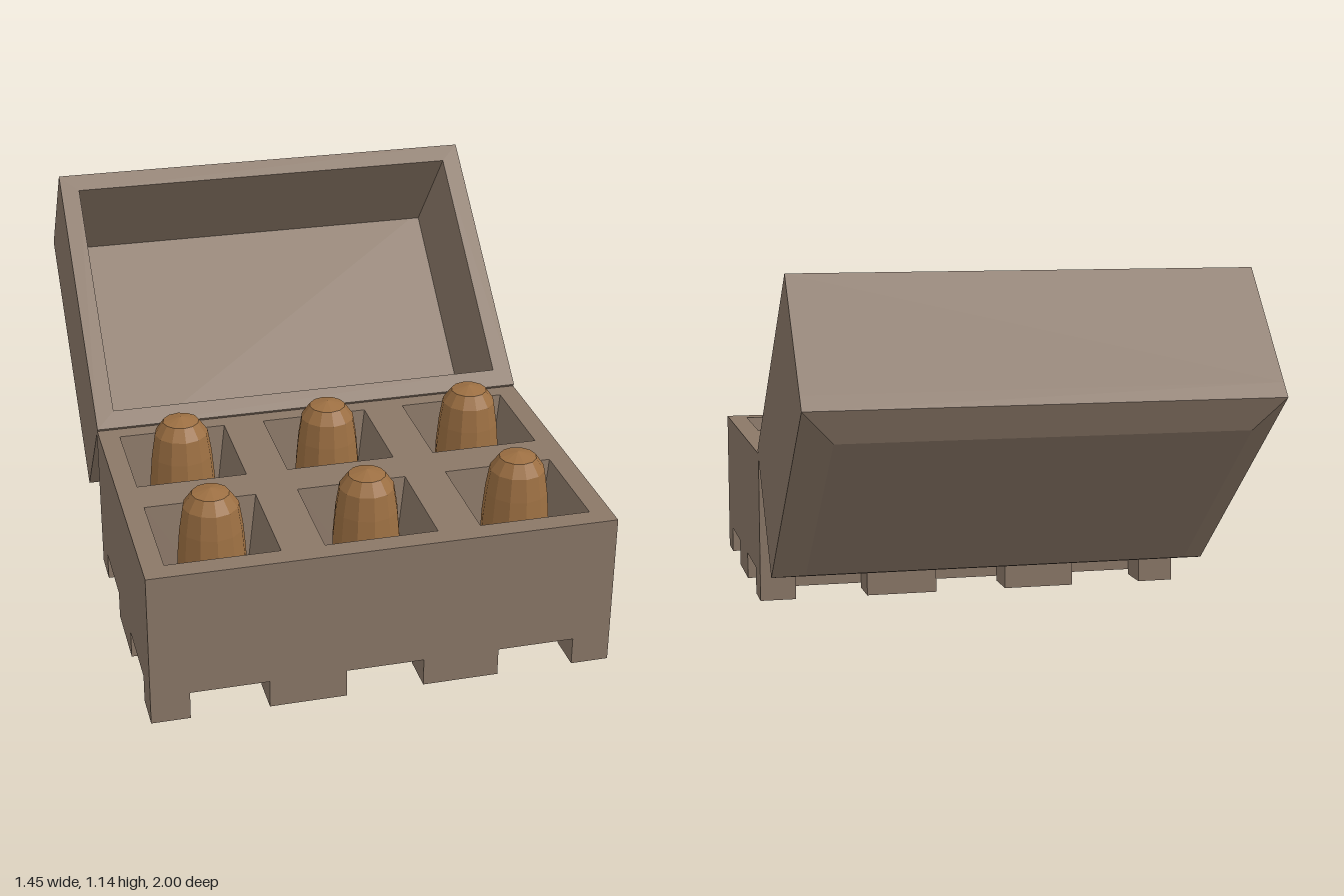
import * as THREE from 'three';
import { ConvexGeometry } from 'three/addons/geometries/ConvexGeometry.js';

const card = new THREE.MeshStandardMaterial({ color: 0x8a7767, flatShading: true });
const shell = new THREE.MeshStandardMaterial({ color: 0x9c6f42, flatShading: true });

const HX = 0.725, HZ = 0.485, CZ = 0.515;   // tray half sizes and centre
const COLS = 3, ROWS = 2;
const PX = 2 * HX / COLS, PZ = 2 * HZ / ROWS; // cell pitch
const CEIL = 0.09, TOP = 0.5;

function add(parent, geometry, name, material = card) {
  const mesh = new THREE.Mesh(geometry, material);
  mesh.name = name;
  parent.add(mesh);
  return mesh;
}

function rect(Type, x0, y0, x1, y1) {
  const s = new Type();
  s.moveTo(x0, y0);
  s.lineTo(x1, y0);
  s.lineTo(x1, y1);
  s.lineTo(x0, y1);
  s.closePath();
  return s;
}

const points = list => list.map(([r, y]) => new THREE.Vector2(r, y));

function buildTray() {
  const tray = new THREE.Group();
  tray.name = 'tray';

  // Block with square openings, one for each cup
  const outline = rect(THREE.Shape, -HX, -HZ, HX, HZ);

  // Square cup: stub below, flange, sloping pocket above
  const cup = new THREE.LatheGeometry(points([
    [0, 0.018], [0.122, 0.018], [0.122, CEIL], [0.175, CEIL],
    [0.175, TOP], [0.105, 0.04], [0, 0.04],
  ].map(([r, y]) => [r * Math.SQRT2, y])), 4, Math.PI / 4);

  // Faceted egg, widest low in the pocket
  const egg = new THREE.LatheGeometry(points([
    [0, 0.04], [0.06, 0.06], [0.095, 0.16], [0.108, 0.32], [0.106, 0.42],
    [0.098, 0.51], [0.086, 0.585], [0.058, 0.625], [0, 0.641],
  ]), 12);

  for (let i = 0; i < COLS; i++) {
    for (let j = 0; j < ROWS; j++) {
      const x = -HX + (i + 0.5) * PX, z = -HZ + (j + 0.5) * PZ;
      outline.holes.push(rect(THREE.Path, x - 0.175, z - 0.175, x + 0.175, z + 0.175));
      add(tray, cup, 'cup').position.set(x, 0, z);
      add(tray, egg, 'egg', shell).position.set(x, 0, z);
    }
  }
  const body = new THREE.ExtrudeGeometry(outline, { depth: TOP - CEIL, bevelEnabled: false });
  body.rotateX(-Math.PI / 2).translate(0, CEIL, 0);
  add(tray, body, 'trayBody');

  // Feet at the cell corners, cut off at the tray edge
  const f = 0.12;
  for (let i = 0; i <= COLS; i++) {
    for (let j = 0; j <= ROWS; j++) {
      const x = -HX + i * PX, z = -HZ + j * PZ;
      const x0 = Math.max(x - f, -HX), x1 = Math.min(x + f, HX);
      const z0 = Math.max(z - f, -HZ), z1 = Math.min(z + f, HZ);
      const foot = add(tray, new THREE.BoxGeometry(x1 - x0, CEIL, z1 - z0), 'foot');
      foot.position.set((x0 + x1) / 2, CEIL / 2, (z0 + z1) / 2);
    }
  }
  tray.position.z = CZ;
  return tray;
}

function buildLid() {
  const lid = new THREE.Group();
  lid.name = 'lid';
  const L = 0.964, T = 0.485, D = 0.43, RIM = 0.062;

  // Rim walls, open towards local +z
  const outline = rect(THREE.Shape, -HX, 0, HX, L);
  outline.holes.push(rect(THREE.Path, -HX + RIM, RIM, HX - RIM, L - RIM));
  const walls = new THREE.ExtrudeGeometry(outline, { depth: D, bevelEnabled: false });
  add(lid, walls.translate(0, 0, -D), 'lidWalls');

  // Closing panel
  add(lid, new THREE.BoxGeometry(2 * HX, L, T - D), 'lidPanel').position.set(0, L / 2, -(T + D) / 2);

  // Chamfered crown on the outside
  const corners = [];
  for (const [inset, z] of [[0, -T], [0.096, -T - 0.05]]) {
    for (const sx of [-1, 1]) {
      for (const y of [inset, L - inset]) corners.push(new THREE.Vector3(sx * (HX - inset), y, z));
    }
  }
  add(lid, new ConvexGeometry(corners), 'lidCrown');

  // Swung open about the back edge of the tray
  lid.position.set(0, 0.51, 0.05);
  lid.rotation.x = -0.859;
  return lid;
}

export function createModel() {
  const model = new THREE.Group();
  model.name = 'eggCarton';
  model.add(buildTray(), buildLid());
  return model;
}
